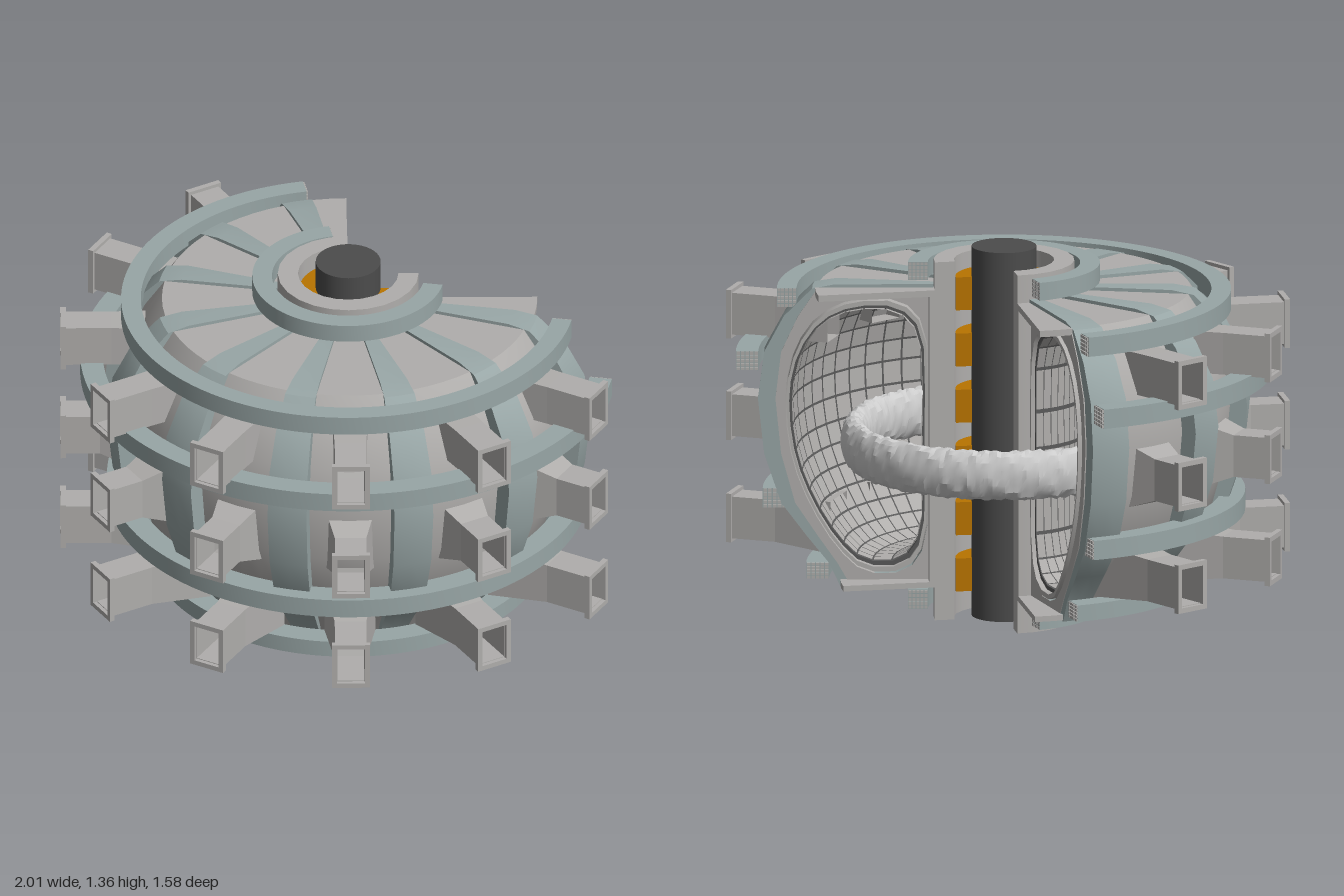
import * as THREE from 'three';
import { mergeGeometries, toCreasedNormals } from 'three/addons/utils/BufferGeometryUtils.js';

const RAD = Math.PI / 180;
const mat = (color) => new THREE.MeshStandardMaterial({ color, side: THREE.DoubleSide });
const steel = mat(0xb0aeac), coilGreen = mat(0x98a6a6), dark = mat(0x4c4c4c);
const copper = mat(0xb87400), glow = mat(0xdcdcdc), backing = mat(0x5a5a5a);

const pts = (list) => list.map(([x, y]) => new THREE.Vector2(x, y));
const rect = (r0, r1, y0, y1) => pts([[r0, y0], [r1, y0], [r1, y1], [r0, y1]]);

function add(parent, name, geometry, material) {
  const mesh = new THREE.Mesh(geometry, material);
  mesh.name = name;
  parent.add(mesh);
  return mesh;
}

// Solid sweep of a closed (r, y) section between two angles, measured in degrees from +z
function sector(section, from, to, step = 3, hole = null) {
  const segs = Math.max(1, Math.round((to - from) / step));
  const sweep = (loop) => toCreasedNormals(
    new THREE.LatheGeometry([...loop, loop[0]], segs, from * RAD, (to - from) * RAD), 0.5);
  const parts = [sweep(section)];
  const shape = new THREE.Shape(section);
  if (hole) {
    parts.push(sweep([...hole].reverse()));
    shape.holes.push(new THREE.Path(hole));
  }
  for (const a of [from, to]) {
    parts.push(new THREE.ShapeGeometry(shape).toNonIndexed().rotateY((a - 90) * RAD));
  }
  return mergeGeometries(parts);
}

// Sections of the coils, the vessel, its open end and the D-shaped chamber
const coilSection = pts([[0.25, 0.115], [0.58, 0.115], [0.62, 0.2], [0.7, 0.3], [0.79, 0.42], [0.85, 0.6],
  [0.872, 0.8], [0.85, 0.97], [0.78, 1.1], [0.68, 1.2], [0.6, 1.215], [0.25, 1.215]]);
const vesselSection = pts([[0.24, 0.13], [0.55, 0.13], [0.59, 0.2], [0.66, 0.3], [0.74, 0.42], [0.79, 0.6],
  [0.81, 0.8], [0.79, 0.97], [0.73, 1.1], [0.66, 1.203], [0.24, 1.203]]);
const endSection = pts([[0.24, 0.12], [0.58, 0.12], [0.58, 0.14], [0.268, 0.14], [0.268, 1.18],
  [0.67, 1.18], [0.67, 1.203], [0.24, 1.203]]);
const chamberCurve = new THREE.SplineCurve(pts([[0.27, 0.68], [0.273, 0.32], [0.34, 0.18], [0.49, 0.17],
  [0.6, 0.27], [0.695, 0.43], [0.755, 0.6], [0.775, 0.8], [0.745, 0.97], [0.66, 1.1], [0.53, 1.16],
  [0.36, 1.15], [0.275, 1.02], [0.27, 0.68]]));
const chamber = chamberCurve.getPoints(28).slice(0, 28);
const shrink = (loop, s) => loop.map((p) => new THREE.Vector2(0.52 + (p.x - 0.52) * s, 0.67 + (p.y - 0.67) * s));

// Separate wall tiles lining the chamber
function tiles(loop, from, to, count) {
  const pos = [];
  const inset = 0.05, step = (to - from) / count;
  const at = (p, a) => [p.x * Math.sin(a * RAD), p.y, p.x * Math.cos(a * RAD)];
  loop.forEach((p, i) => {
    const q = loop[(i + 1) % loop.length];
    const p0 = p.clone().lerp(q, inset), p1 = p.clone().lerp(q, 1 - inset);
    for (let j = 0; j < count; j++) {
      const a0 = from + (j + inset) * step, a1 = from + (j + 1 - inset) * step;
      const A = at(p0, a0), B = at(p1, a0), C = at(p1, a1), D = at(p0, a1);
      pos.push(...A, ...B, ...C, ...A, ...C, ...D);
    }
  });
  const g = new THREE.BufferGeometry();
  g.setAttribute('position', new THREE.Float32BufferAttribute(pos, 3));
  g.computeVertexNormals();
  return g;
}

// Grid of conductors showing on both cut ends of a ring coil
function conductors(r0, r1, y0, y1, angle) {
  const parts = [], n = 5, dr = (r1 - r0) / n, dy = (y1 - y0) / n;
  for (let i = 0; i < n * n; i++) {
    const r = r0 + (i % n) * dr, y = y0 + Math.floor(i / n) * dy;
    const cell = rect(r + dr * 0.12, r + dr * 0.88, y + dy * 0.12, y + dy * 0.88);
    parts.push(sector(cell, angle, angle + 0.4), sector(cell, -angle - 0.4, -angle));
  }
  return mergeGeometries(parts);
}

// Rectangular pipe along z
function pipe(w, h, wall, z0, z1) {
  const box = (a, b) => pts([[-a, -b], [a, -b], [a, b], [-a, b]]);
  const shape = new THREE.Shape(box(w / 2, h / 2));
  shape.holes.push(new THREE.Path(box(w / 2 - wall, h / 2 - wall)));
  return new THREE.ExtrudeGeometry(shape, { depth: z1 - z0, bevelEnabled: false }).translate(0, 0, z0);
}

// Port: pipe with an end flange and a flared root at the vessel wall
function port(rootR, neckR, rootW, rootH) {
  const g = new THREE.Group();
  add(g, 'portPipe', pipe(0.112, 0.152, 0.008, neckR, 1.005), steel);
  add(g, 'portFlange', pipe(0.134, 0.177, 0.018, 1.0, 1.02), steel);
  const root = new THREE.CylinderGeometry(Math.SQRT1_2, Math.SQRT1_2, neckR - rootR, 4, 1, true)
    .toNonIndexed().rotateY(Math.PI / 4).rotateX(Math.PI / 2).translate(0, 0, (neckR + rootR) / 2);
  const p = root.attributes.position;
  for (let i = 0; i < p.count; i++) {
    const outer = p.getZ(i) > (neckR + rootR) / 2;
    p.setXY(i, p.getX(i) * (outer ? 0.112 : rootW), p.getY(i) * (outer ? 0.152 : rootH));
  }
  root.computeVertexNormals();
  add(g, 'portRoot', root, steel);
  return g;
}

// Rough plasma ring, taller than wide
function plasma() {
  const g = new THREE.TorusGeometry(0.53, 0.05, 20, 240).rotateX(Math.PI / 2);
  const p = g.attributes.position;
  for (let i = 0; i < p.count; i++) {
    const x = p.getX(i), y = p.getY(i), z = p.getZ(i);
    const t = Math.atan2(x, z), r = Math.hypot(x, z), a = Math.atan2(y, r - 0.53);
    const k = 0.96 + 0.03 * Math.sin(4 * a + 31 * t + 2 * Math.sin(9 * t))
      + 0.03 * Math.sin(7 * a - 53 * t + 2 * Math.sin(3 * a + 17 * t)) + 0.02 * Math.sin(3 * a + 83 * t);
    const R = 0.53 + 0.05 * k * Math.cos(a);
    p.setXYZ(i, R * Math.sin(t), 0.645 + 0.092 * k * Math.sin(a), R * Math.cos(t));
  }
  return toCreasedNormals(g, 0.4);
}

export function createModel() {
  const model = new THREE.Group();
  model.name = 'fusionReactor';
  const core = new THREE.Group();
  core.name = 'reactorCore';
  core.position.z = -0.21;
  model.add(core);

  // Central column, solenoid rings and inner legs
  add(core, 'centralColumn', new THREE.CylinderGeometry(0.115, 0.115, 1.345, 40).translate(0, 0.6825, 0), dark);
  for (let i = 0; i < 6; i++) {
    const y = 0.1 + i * 0.205;
    add(core, 'solenoidRing', sector(rect(0.114, 0.172, y, y + 0.12), -115, 133, 6), copper);
  }
  add(core, 'innerLegs', sector(rect(0.178, 0.25, 0, 1.305), -135, 135, 15), steel);

  // Vessel with its hollow chamber, stepped liner and tiles
  add(core, 'vessel', sector(vesselSection, -125, 125, 5, chamber), steel);
  add(core, 'chamberLip', sector(shrink(chamber, 0.985), -126, 126, 6, shrink(chamber, 0.95)), steel);
  add(core, 'chamberLiner', sector(shrink(chamber, 0.95), -123, 123, 6, shrink(chamber, 0.92)), backing);
  add(core, 'wallTiles', tiles(shrink(chamber, 0.91), -123, 123, 41), steel);
  add(core, 'bottomPlate', sector(rect(0.25, 0.575, 0.118, 0.14), -125, 125, 5), coilGreen);

  // Thin top, bottom and inner walls reaching past the last coils
  for (const a of [-135, 124.7]) add(core, 'endWall', sector(endSection, a, a + 10.3, 5), steel);

  // Upright coils every 30 degrees
  for (let a = -120; a <= 120; a += 30) {
    add(core, 'uprightCoil', sector(coilSection, a - 4.7, a + 4.7, 4.7, chamber), coilGreen);
  }

  // Horizontal coil rings: inner radius, outer radius, bottom, top
  for (const ring of [[0.27, 0.34, 0.03, 0.1], [0.62, 0.7, 0.14, 0.2], [0.77, 0.855, 0.4, 0.47],
    [0.87, 0.95, 0.9, 0.97], [0.735, 0.805, 1.13, 1.2], [0.27, 0.34, 1.23, 1.295]]) {
    add(core, 'ringCoil', sector(rect(...ring), -124, 124, 3), coilGreen);
    add(core, 'ringConductors', conductors(...ring, 124), steel);
  }

  // Three levels of ports between the coils
  for (const [y, rootR, neckR, w, h] of [[0.297, 0.62, 0.84, 0.18, 0.19], [0.67, 0.77, 0.88, 0.17, 0.23],
    [1.04, 0.64, 0.84, 0.13, 0.15]]) {
    for (let a = -105; a <= 105; a += 30) {
      const p = port(rootR, neckR, w, h);
      p.name = 'port';
      p.position.y = y;
      p.rotation.y = a * RAD;
      core.add(p);
    }
  }

  add(core, 'plasmaRing', plasma(), glow);
  return model;
}
